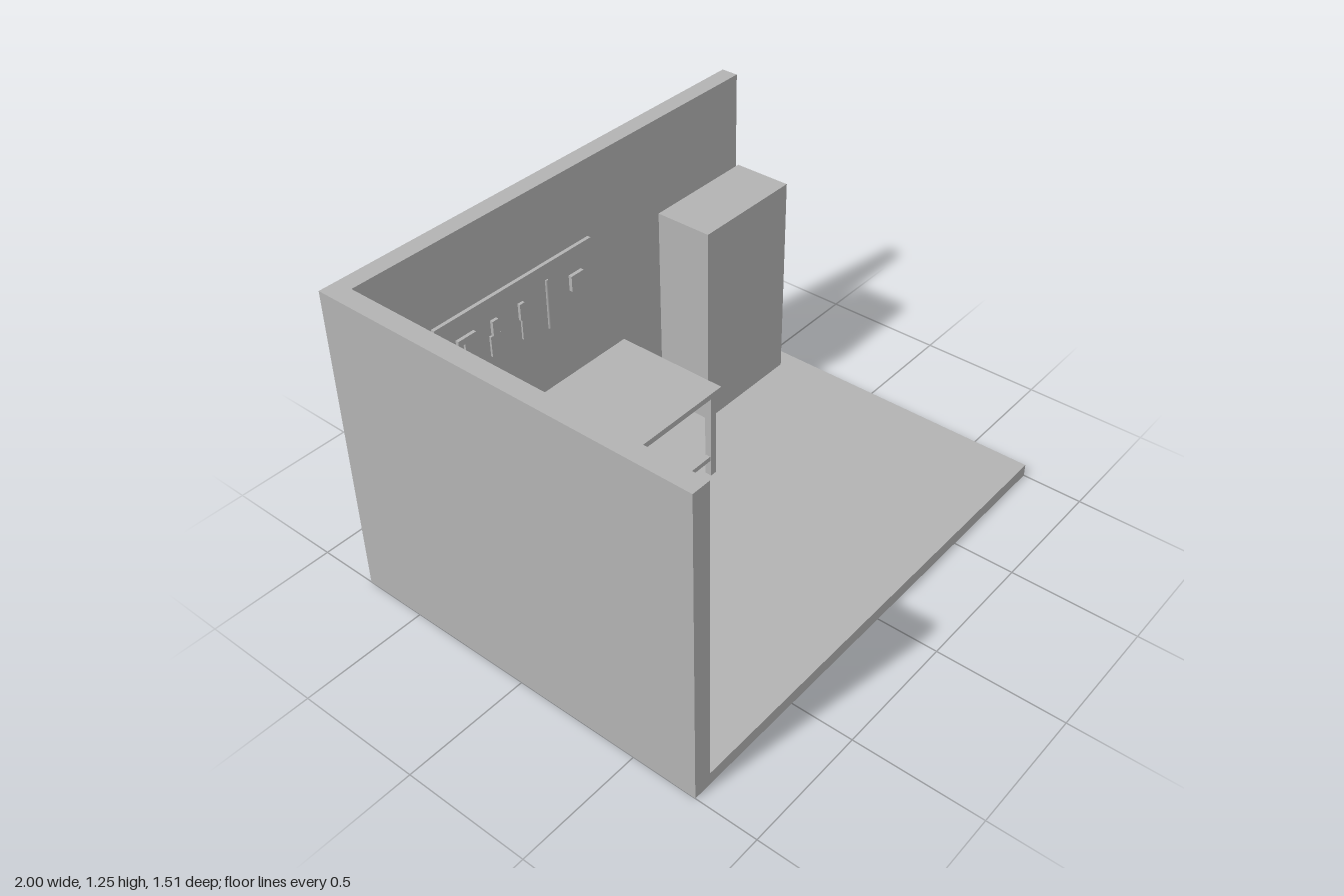
import * as THREE from 'three';

export function createModel() {
  const model = new THREE.Group();
  model.name = 'workshopRoom';
  const grey = new THREE.MeshStandardMaterial({ color: 0xb2b2b2 });
  grey.name = 'plainGrey';

  const group = (name) => {
    const g = new THREE.Group();
    g.name = name;
    model.add(g);
    return g;
  };
  // Box given by its lower and upper limits on each axis
  const box = (parent, name, [x0, x1], [y0, y1], [z0, z1]) => {
    const mesh = new THREE.Mesh(new THREE.BoxGeometry(x1 - x0, y1 - y0, z1 - z0), grey);
    mesh.position.set((x0 + x1) / 2, (y0 + y1) / 2, (z0 + z1) / 2);
    mesh.name = name;
    parent.add(mesh);
  };

  // Floor and two walls
  const room = group('room');
  const H = 1.255, F = 0.052, D = 0.757, W = -0.687;
  box(room, 'floor', [-1, 1], [0, F], [-D, D]);
  box(room, 'sideWall', [-1, -0.928], [F, H], [-D, D]);
  box(room, 'backWall', [-0.928, 1], [F, H], [-D, W]);

  // Storage cabinet
  box(model, 'cabinet', [0.443, 0.924], [F, 0.918], [-0.615, -0.375]);

  // Workbench: top, four legs, front and rear rails
  const bench = group('workbench');
  box(bench, 'benchTop', [-0.738, 0.226], [0.436, 0.46], [-0.615, -0.134]);
  for (const z of [-0.589, -0.16]) {
    for (const x of [-0.707, 0.196]) {
      box(bench, 'benchLeg', [x - 0.0145, x + 0.0145], [F, 0.436], [z - 0.0145, z + 0.0145]);
    }
    box(bench, 'lowerRail', [-0.693, 0.182], [0.122, 0.143], [z - 0.01, z + 0.01]);
  }

  // Tool board on the back wall
  const B = -0.672;
  const tools = group('toolBoard');
  box(tools, 'board', [-0.64, 0.13], [0.605, 0.942], [W, B]);

  // Hammer
  box(tools, 'hammerHead', [-0.553, -0.469], [0.831, 0.856], [B, -0.658]);
  box(tools, 'hammerHandle', [-0.52, -0.501], [0.688, 0.831], [B, -0.662]);

  // Scraper
  box(tools, 'scraperHandle', [-0.39, -0.361], [0.79, 0.851], [B, -0.659]);
  box(tools, 'scraperBlade', [-0.401, -0.352], [0.704, 0.79], [B, -0.663]);

  // Screwdriver
  box(tools, 'screwdriverHandle', [-0.255, -0.231], [0.782, 0.851], [B, -0.66]);
  box(tools, 'screwdriverShaft', [-0.247, -0.239], [0.695, 0.782], [B, -0.664]);

  // Round rod
  const rod = new THREE.Mesh(new THREE.CylinderGeometry(0.007, 0.007, 0.21, 20), grey);
  rod.position.set(-0.107, 0.773, B);
  rod.name = 'rod';
  tools.add(rod);

  // Small block
  box(tools, 'smallBlock', [0.006, 0.07], [0.773, 0.838], [B, -0.657]);

  return model;
}
